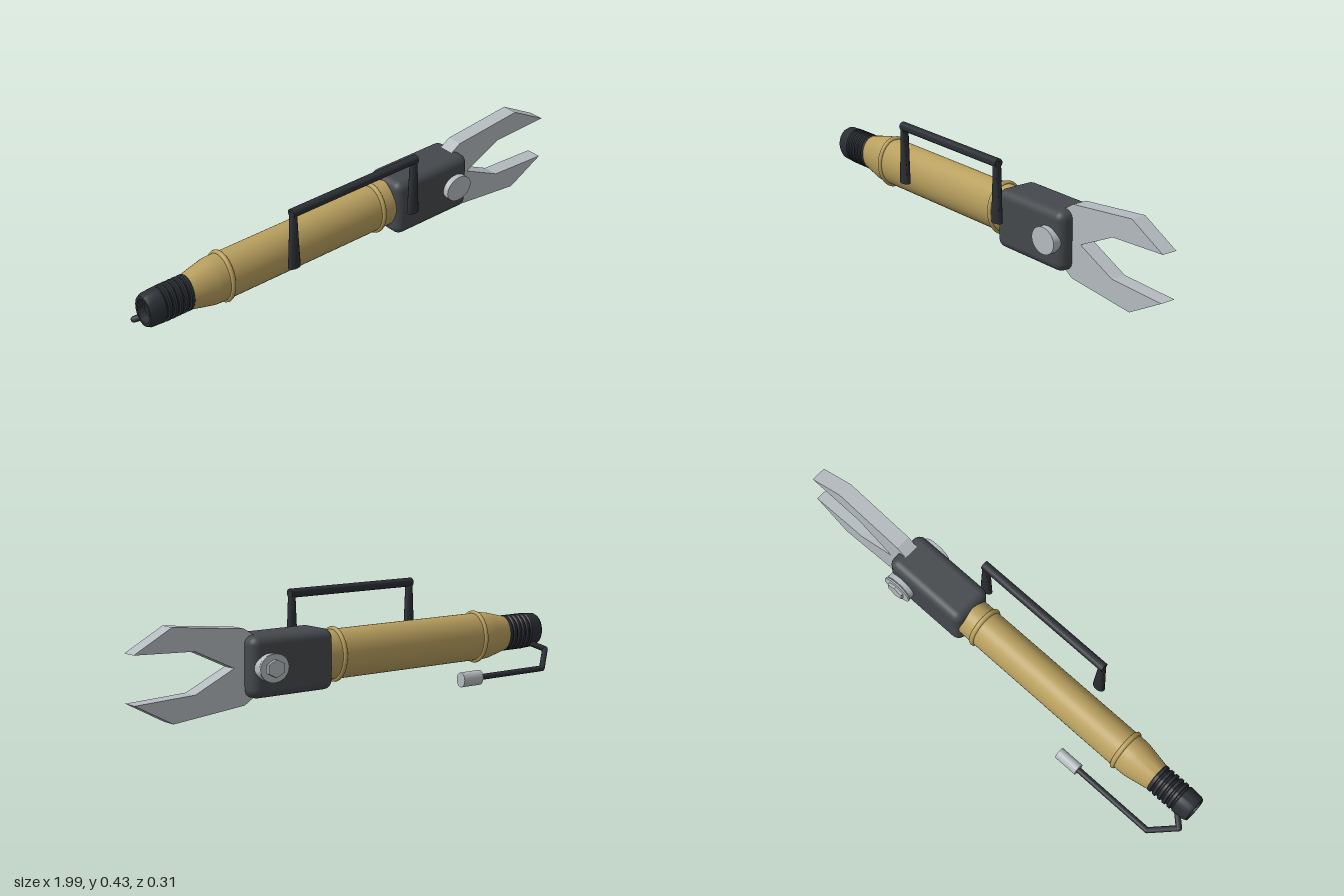
import * as THREE from 'three';
import { RoundedBoxGeometry } from 'three/addons/geometries/RoundedBoxGeometry.js';
import { toCreasedNormals } from 'three/addons/utils/BufferGeometryUtils.js';

const AXIS_Y = 0.18, AXIS_Z = 0.015, DEPTH = 0.78; // tool axis and oval flattening

const material = (color) => new THREE.MeshStandardMaterial({ color });

export function createModel() {
  const group = new THREE.Group();
  const gold = material(0xb89f5e), rubber = material(0x2a2e33);
  const housingGrey = material(0x44484c), steel = material(0xb4bbbf);

  const add = (name, geometry, mat, x = 0, y = 0, z = 0) => {
    const mesh = new THREE.Mesh(geometry, mat);
    mesh.name = name;
    mesh.position.set(x, y, z);
    group.add(mesh);
    return mesh;
  };

  // Oval turned part along x from [x, radius] pairs
  const turned = (name, profile, mat) => {
    const points = profile.map(([x, r]) => new THREE.Vector2(r, x));
    const geometry = new THREE.LatheGeometry(points, 40);
    geometry.rotateZ(-Math.PI / 2).scale(1, 1, DEPTH);
    return add(name, toCreasedNormals(geometry, 0.5), mat, 0, AXIS_Y, AXIS_Z);
  };

  // Barrel with tapered rear shoulder
  turned('barrel', [[-0.81, 0], [-0.81, 0.068], [-0.79, 0.074], [-0.7, 0.095],
    [-0.68, 0.097], [0.17, 0.097], [0.17, 0]], gold);

  // Raised bands around the barrel
  for (const x of [-0.64, 0.09]) {
    const ring = new THREE.TorusGeometry(0.098, 0.01, 10, 40);
    ring.rotateY(Math.PI / 2).scale(1, 1, DEPTH);
    add('barrelRing', ring, gold, x, AXIS_Y, AXIS_Z);
  }

  // Ribbed rear grip with a recessed end
  const grip = [[-0.955, 0], [-0.955, 0.045], [-0.985, 0.05], [-0.985, 0.062],
    [-0.97, 0.07], [-0.92, 0.073]];
  for (let i = 0; i < 5; i++) {
    const x = -0.915 + i * 0.024;
    grip.push([x, 0.066], [x + 0.005, 0.066], [x + 0.008, 0.074], [x + 0.019, 0.074]);
  }
  grip.push([-0.79, 0.066], [-0.79, 0]);
  turned('rearGrip', grip, rubber);

  // Jaw housing
  const housing = new RoundedBoxGeometry(0.376, 0.233, 0.178, 5, 0.035);
  add('jawHousing', housing, housingGrey, 0.336, 0.177, 0.017);

  // Jaws: one flat plate with a notched mouth, mirrored about its centre line
  const upper = [[0.36, 0.07], [0.48, 0.115], [0.525, 0.143], [0.835, 0.175],
    [0.995, 0.09], [0.74, 0.079]];
  const lower = upper.map(([x, y]) => [x, -y]).reverse();
  const outline = [...upper, [0.57, 0], ...lower].map(([x, y]) => new THREE.Vector2(x, y));
  const jaws = new THREE.ExtrudeGeometry(new THREE.Shape(outline),
    { depth: 0.063, bevelEnabled: false });
  add('jaws', jaws, steel, 0, 0.177, -0.013);

  // Pivot pin, washer and hex nut, all lying along z
  const disc = (name, radius, z0, z1, sides) => {
    const geometry = new THREE.CylinderGeometry(radius, radius, z1 - z0, sides);
    geometry.rotateX(Math.PI / 2).scale(1.2, 1, 1);
    add(name, toCreasedNormals(geometry, 0.5), steel, 0.452, 0.177, (z0 + z1) / 2);
  };
  disc('pivotPin', 0.052, -0.093, 0.13, 36);
  disc('pivotWasher', 0.054, -0.104, -0.097, 36);
  disc('pivotCore', 0.042, -0.1, -0.09, 24);
  disc('pivotNut', 0.034, -0.116, -0.1, 6);

  // Side handle: straight bar on two legs that flare toward the bottom
  const bar = new THREE.CylinderGeometry(0.018, 0.018, 0.61, 16);
  bar.rotateZ(Math.PI / 2);
  add('handleBar', toCreasedNormals(bar, 0.6), rubber, -0.1, 0.411, 0.138);
  for (const x of [-0.395, 0.195]) {
    const leg = new THREE.CylinderGeometry(0.017, 0.017, 0.24, 16);
    const p = leg.attributes.position;
    for (let i = 0; i < p.count; i++) {
      p.setX(i, p.getX(i) * (p.getY(i) > 0 ? 0.7 : 1.6));
    }
    add('handleLeg', toCreasedNormals(leg, 0.6), rubber, x, 0.297, 0.138);
  }

  // Bent trigger rod with a capped end
  const bends = [[-0.93, 0.13, -0.015], [-0.98, 0.104, -0.058],
    [-0.89, 0.041, -0.131], [-0.52, 0.041, -0.131]].map((p) => new THREE.Vector3(...p));
  for (let i = 0; i < bends.length - 1; i++) {
    const segment = new THREE.LineCurve3(bends[i], bends[i + 1]);
    add('triggerRod', new THREE.TubeGeometry(segment, 1, 0.012, 12), rubber);
    if (i > 0) add('rodBend', new THREE.SphereGeometry(0.012, 12, 8), rubber, ...bends[i]);
  }
  const cap = new THREE.CylinderGeometry(0.03, 0.03, 0.1, 28);
  cap.rotateZ(Math.PI / 2).scale(1, 1, DEPTH);
  add('triggerCap', cap, steel, -0.489, 0.041, -0.131);

  return group;
}
